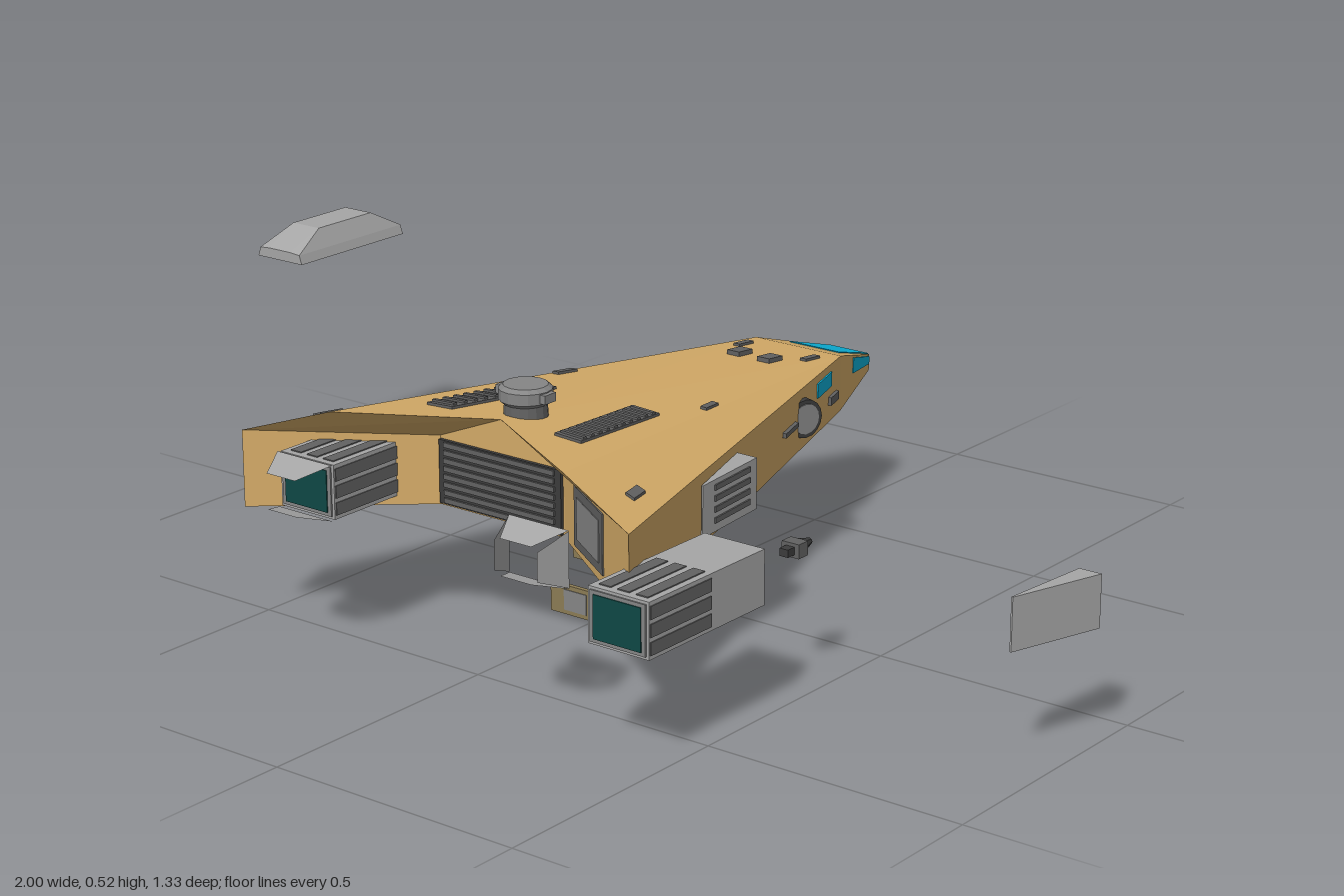
import * as THREE from 'three';
import { ConvexGeometry } from 'three/addons/geometries/ConvexGeometry.js';

const mat = (name, color) => Object.assign(new THREE.MeshStandardMaterial({ color, flatShading: true }), { name });
const V = (x, y, z) => new THREE.Vector3(x, y, z);

export function createModel() {
  const model = new THREE.Group();
  model.name = 'wedgeShip';
  const tan = mat('hullTan', 0xd4ab68), grey = mat('lightGrey', 0xa6a6a6), mid = mat('midGrey', 0x868686),
    dark = mat('darkGrey', 0x626262), black = mat('charcoal', 0x3c3c3c), cyan = mat('windowCyan', 0x0cb2da),
    teal = mat('engineTeal', 0x0f4845), olive = mat('cardOlive', 0x8c7c55);
  const thin = mat('flapGrey', 0xa6a6a6);
  thin.side = THREE.DoubleSide;

  const add = (parent, name, geo, m, x = 0, y = 0, z = 0) => {
    const mesh = new THREE.Mesh(geo, m);
    mesh.name = name;
    mesh.position.set(x, y, z);
    parent.add(mesh);
    return mesh;
  };
  const box = (p, name, m, w, h, d, x, y, z) => add(p, name, new THREE.BoxGeometry(w, h, d), m, x, y, z);
  const group = (name, x = 0, y = 0, z = 0, parent = model) => {
    const g = new THREE.Group();
    g.name = name;
    g.position.set(x, y, z);
    parent.add(g);
    return g;
  };

  // Hull: corners of the right half, mirrored
  const ship = group('ship', -0.038);
  const Nt = V(0.048, 0.302, -0.66), Nb = V(0.048, 0.27, -0.66), Ft = V(0.1, 0.35, -0.49), Fb = V(0.1, 0.24, -0.49),
    At = V(0.434, 0.373, 0.578), Ab = V(0.434, 0.23, 0.578), B = V(0.262, 0.43, 0.535), C = V(0, 0.43, 0.385),
    Dt = V(0.14, 0.373, 0.385), Db = V(0.14, 0.245, 0.385);
  const mid0 = (v) => V(0, v.y, v.z);
  const faces = [
    [mid0(Nt), mid0(Ft), Ft, Nt], [mid0(Ft), C, Ft], [Ft, C, B], [Ft, B, At],
    [Nb, Nt, Ft, Fb], [Fb, Ft, At, Ab],
    [Ab, At, Dt, Db], [At, B, C, Dt], [Db, Dt, C, mid0(Db)],
    [mid0(Nb), Nb, Fb, mid0(Fb)], [mid0(Fb), Fb, Db, mid0(Db)], [Fb, Ab, Db],
    [mid0(Nb), mid0(Nt), Nt, Nb],
  ];
  const pos = [];
  for (const f of faces) for (let i = 1; i < f.length - 1; i++) {
    const t = [f[0], f[i], f[i + 1]];
    t.forEach((v) => pos.push(v.x, v.y, v.z));
    t.reverse().forEach((v) => pos.push(-v.x, v.y, v.z));
  }
  const hullGeo = new THREE.BufferGeometry();
  hullGeo.setAttribute('position', new THREE.Float32BufferAttribute(pos, 3));
  hullGeo.computeVertexNormals();
  add(ship, 'hull', hullGeo, tan);

  // Surface heights, so that plates can follow the hull
  const planeY = (a, b, c) => {
    const p = new THREE.Plane().setFromCoplanarPoints(a, b, c);
    return (x, z) => -(p.normal.x * Math.abs(x) + p.normal.z * z + p.constant) / p.normal.y;
  };
  const tops = [[mid0(Nt), mid0(Ft), Ft], [mid0(Ft), C, Ft], [Ft, C, B], [Ft, B, At]].map((t) => planeY(...t));
  const topY = (x, z) => Math.min(...tops.map((f) => f(x, z)));
  const [bn, bc, bw] = [[mid0(Nb), Nb, Fb], [mid0(Fb), Fb, Db], [Fb, Ab, Db]].map((t) => planeY(...t));
  const bottomY = (x, z) => Math.max(bn(x, z), Math.min(bc(x, z), bw(x, z)));
  const sideX = (z) => 0.048 + (z + 0.66) * (z < -0.49 ? 0.306 : 0.3127);
  const convex = (name, m, pts, parent = ship) => add(parent, name, new ConvexGeometry(pts), m);
  const topPlate = (name, m, xz, out = 0.005) =>
    convex(name, m, xz.flatMap(([x, z]) => [V(x, topY(x, z) + out, z), V(x, topY(x, z) - 0.003, z)]));
  const bottomPlate = (name, m, xz, out = 0.005) =>
    convex(name, m, xz.flatMap(([x, z]) => [V(x, bottomY(x, z) - out, z), V(x, bottomY(x, z) + 0.003, z)]));
  const sidePlate = (name, m, s, zy, out = 0.004) =>
    convex(name, m, zy.flatMap(([z, y]) => [V(s * (sideX(z) + out), y, z), V(s * (sideX(z) - 0.003), y, z)]));
  const rect = (a, b, w, h, skew = 0) => [[a - w / 2, b - h / 2], [a + w / 2, b - h / 2],
    [a + w / 2 + skew, b + h / 2], [a - w / 2 + skew, b + h / 2]];

  // Cockpit glass
  topPlate('canopyTop', cyan, [[-0.045, -0.66], [0.045, -0.66], [0.058, -0.543], [-0.058, -0.543]], 0.002);
  bottomPlate('canopyBottom', cyan, [[-0.045, -0.66], [0.045, -0.66], [0.058, -0.58], [-0.058, -0.58]], 0.002);
  box(ship, 'canopyFront', cyan, 0.088, 0.02, 0.004, 0, 0.288, -0.66);
  for (const s of [-1, 1])
    sidePlate('canopySide', cyan, s, [[-0.657, 0.299], [-0.562, 0.325], [-0.562, 0.294], [-0.657, 0.284]], 0.002);
  sidePlate('sideWindow', cyan, 1, rect(-0.392, 0.323, 0.08, 0.028), 0.002);
  for (const z of [-0.42, -0.355, -0.29]) sidePlate('sideWindow', cyan, -1, rect(z, 0.32, 0.04, 0.026), 0.002);

  // Deck and belly vents, mirrored
  for (const s of [-1, 1]) {
    topPlate('deckGrille', dark, [[s * 0.087, 0.13], [s * 0.147, 0.13], [s * 0.174, 0.38], [s * 0.116, 0.38]], 0.005);
    for (let i = 0; i < 10; i++) {
      const z = 0.145 + i * 0.0245, x = s * (0.12 + (z - 0.13) * 0.11);
      topPlate('deckGrilleSlat', dark, rect(x, z, 0.05, 0.009), 0.009);
    }
    topPlate('deckVent', dark, rect(s * 0.078, -0.42, 0.014, 0.045));
    topPlate('deckVent', dark, rect(s * 0.035, -0.35, 0.028, 0.042), 0.009);
    topPlate('deckVent', dark, rect(s * 0.162, 0.01, 0.014, 0.045, s * 0.008));
    topPlate('wingVent', dark, rect(s * 0.341, 0.45, 0.018, 0.045, s * 0.012));
    bottomPlate('bellyVent', dark, rect(s * 0.065, -0.43, 0.028, 0.042), 0.008);
    bottomPlate('bellyWingVent', dark, rect(s * 0.24, 0.27, 0.04, 0.07, s * 0.015));
  }
  bottomPlate('bellyVent', dark, rect(0, -0.43, 0.028, 0.042), 0.008);
  bottomPlate('bellyHatch', dark, rect(0, -0.28, 0.1, 0.05));
  bottomPlate('bellyHatch', dark, rect(0.03, -0.23, 0.04, 0.06));
  sidePlate('sideVent', dark, 1, rect(-0.442, 0.282, 0.045, 0.016), 0.006);

  // Round hatch and its rail
  const hatch = group('roundHatch', sideX(-0.27), 0.298, -0.27, ship);
  hatch.rotation.set(0, -0.303, -Math.PI / 2, 'YXZ');
  add(hatch, 'hatchRim', new THREE.CylinderGeometry(0.037, 0.037, 0.02, 16), black);
  add(hatch, 'hatchFace', new THREE.CylinderGeometry(0.029, 0.029, 0.024, 16), mid);
  sidePlate('hatchRail', dark, 1, rect(-0.198, 0.298, 0.068, 0.009), 0.007);

  // Dorsal turret
  const turret = group('turret', 0, 0, 0.318, ship);
  add(turret, 'turretBase', new THREE.CylinderGeometry(0.038, 0.04, 0.03, 16), dark, 0, 0.432, 0);
  const cap = [[0, 0.479], [0.04, 0.479], [0.048, 0.472], [0.048, 0.452], [0.04, 0.445], [0, 0.445]].reverse();
  add(turret, 'turretCap', new THREE.LatheGeometry(cap.map((p) => new THREE.Vector2(...p)), 16), mid);
  for (const s of [-1, 1]) box(turret, 'turretLug', mid, 0.014, 0.016, 0.03, s * 0.049, 0.462, 0);

  // Rear grille
  box(ship, 'rearGrille', black, 0.276, 0.118, 0.01, 0, 0.309, 0.387);
  for (let i = 0; i < 8; i++) box(ship, 'rearGrilleSlat', dark, 0.25, 0.009, 0.012, 0, 0.258 + i * 0.0147, 0.39);

  // Side intake housing: a wedge with louvres; s mirrors it
  const housing = (parent, s, y) => {
    const P = (x, h, z) => V(s * x, y + h, z);
    const prism = (name, m, xz, lo, hi) => convex(name, m, xz.flatMap(([x, z]) => [P(x, lo, z), P(x, hi, z)]), parent);
    prism('intakeHousing', grey, [[0, 0], [0.043, 0], [0.06, 0.178], [0.057, 0.178]], 0, 0.095);
    const wall = (z) => 0.043 + z * 0.0955;
    for (let i = 0; i < 4; i++) {
      const h = 0.016 + i * 0.02;
      prism('louvre', dark, [[wall(0.025) - 0.004, 0.025], [wall(0.025) + 0.003, 0.025],
        [wall(0.14) + 0.003, 0.14], [wall(0.14) - 0.004, 0.14]], h, h + 0.01);
    }
    box(parent, 'intakeMouth', black, 0.03, 0.075, 0.004, s * 0.022, y + 0.047, 0);
  };
  housing(group('rightIntake', 0.277, 0, 0.075, ship), 1, 0.25);
  housing(group('detachedIntake', 1.0, 0, 0.105), -1, 0.21);
  sidePlate('intakeBay', dark, -1, rect(0.18, 0.3, 0.17, 0.095), 0.004);

  // Engine box with slots on all four sides and a glowing rear panel
  const engine = (name, x, y, zEnd) => {
    const g = group(name, x, y, zEnd);
    box(g, 'engineBody', grey, 0.125, 0.1, 0.31, 0, 0, -0.155);
    box(g, 'engineFrame', mid, 0.114, 0.09, 0.004, 0, 0, 0.001);
    box(g, 'enginePanel', teal, 0.098, 0.077, 0.006, 0, 0, 0.002);
    for (const o of [-1, 0, 1]) for (const s of [-1, 1]) {
      box(g, 'topSlot', dark, 0.024, 0.004, 0.15, o * 0.038, s * 0.05, -0.088);
      box(g, 'sideSlot', dark, 0.004, 0.023, 0.16, s * 0.0625, o * 0.031, -0.083);
    }
  };
  engine('leftEngine', -0.307, 0.308, 0.588);
  engine('detachedEngine', 0.438, 0.255, 0.658);

  // Nozzle flaps: tapered plates leaning inward
  const flap = (parent, angle, half, dist) => {
    const geo = new THREE.BufferGeometry();
    const p = [[-half, dist, 0], [half, dist, 0], [half * 0.52, dist - 0.018, 0.06], [-half * 0.52, dist - 0.018, 0.06]];
    geo.setAttribute('position', new THREE.Float32BufferAttribute([0, 2, 1, 0, 3, 2].flatMap((i) => p[i]), 3));
    geo.computeVertexNormals();
    add(parent, 'nozzleFlap', geo, thin).rotation.z = angle;
  };
  for (const x of [-0.307, 0.22]) {
    const g = group(x < 0 ? 'leftNozzle' : 'rightNozzle', x, 0.308, 0.594);
    for (const a of [0, Math.PI]) flap(g, a, 0.064, 0.051);
    if (x > 0) for (const a of [1, -1]) flap(g, a * Math.PI / 2, 0.05, 0.064);
  }

  // Empty engine bay in the right rear wall
  const bay = group('engineBay', 0.258, 0.308, 0.462, ship);
  bay.rotation.y = -0.581;
  box(bay, 'bayFrame', dark, 0.156, 0.108, 0.006, 0, 0, 0);
  box(bay, 'bayInner', mid, 0.12, 0.075, 0.009, 0, 0, 0);

  // Floating canopy cover
  const cover = [];
  for (const s of [-1, 1]) {
    for (const z of [-0.307, -0.014]) cover.push(V(s * 0.058, 0.47, z), V(s * 0.052, 0.488, z), V(s * 0.028, 0.49, z));
    for (const z of [-0.24, -0.09]) cover.push(V(s * 0.034, 0.524, z), V(s * 0.058, 0.47, z));
  }
  convex('floatingCover', grey, cover, group('cover', -0.942));

  // Small detached gun
  const gun = group('detachedGun', 0.45, 0.25, 0.185);
  box(gun, 'gunBody', dark, 0.036, 0.026, 0.026, 0, 0, 0.008);
  add(gun, 'gunBarrel', new THREE.CylinderGeometry(0.006, 0.014, 0.03, 8), black, 0, 0, -0.02).rotation.x = -Math.PI / 2;
  box(gun, 'gunTail', black, 0.018, 0.014, 0.02, 0, 0, 0.03);

  // Hanging cards
  for (const [x, y, w, h, z] of [[-0.007, 0.147, 0.066, 0.056, 0.185], [-0.04, 0.031, 0.115, 0.056, 0.18]]) {
    const g = group('card', x, y, z);
    box(g, 'cardBoard', olive, w, h, 0.009, 0, 0, 0);
    box(g, 'cardFace', mid, w * 0.45, h * 0.7, 0.012, 0, 0, 0);
  }
  return model;
}
